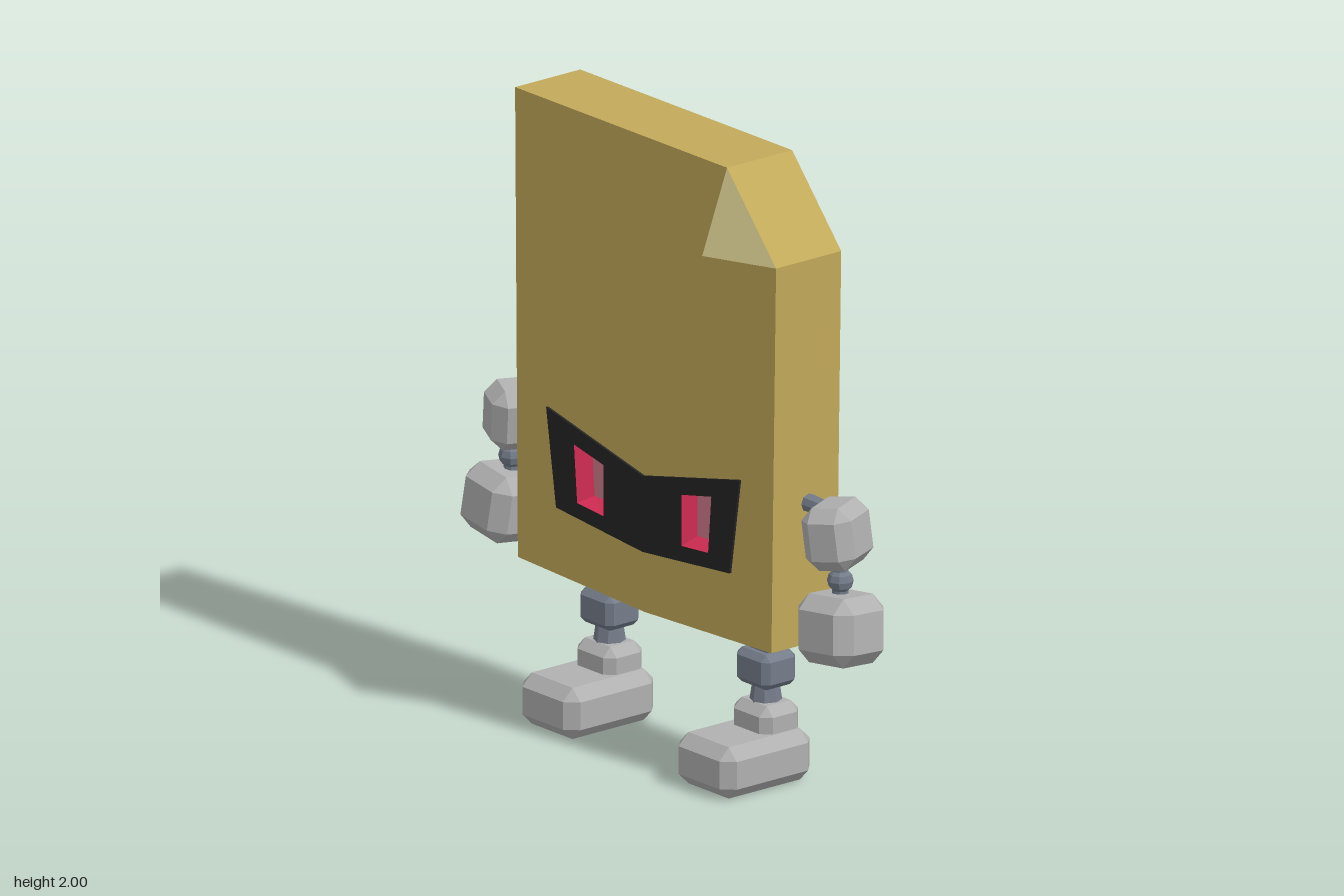
import * as THREE from 'three';
import { ConvexGeometry } from 'three/addons/geometries/ConvexGeometry.js';

const material = (name, color, extra = {}) => {
  const m = new THREE.MeshStandardMaterial({ color, flatShading: true, ...extra });
  m.name = name;
  return m;
};

function toShape(points) {
  return new THREE.Shape(points.map(([x, y]) => new THREE.Vector2(x, y)));
}

// Plate cut from an outline, running from z0 to z1, with optional holes
function plate(points, holes, z0, z1) {
  const shape = toShape(points);
  holes.forEach((h) => shape.holes.push(toShape(h)));
  const geo = new THREE.ExtrudeGeometry(shape, { depth: z1 - z0, bevelEnabled: false });
  return geo.translate(0, 0, z0);
}

// Box with every edge and corner cut off by c
function chamferBox(w, h, d, c) {
  const pts = [];
  for (const x of [-1, 1]) for (const y of [-1, 1]) for (const z of [-1, 1]) {
    const a = w / 2, b = h / 2, e = d / 2;
    pts.push(new THREE.Vector3(x * a, y * (b - c), z * (e - c)));
    pts.push(new THREE.Vector3(x * (a - c), y * b, z * (e - c)));
    pts.push(new THREE.Vector3(x * (a - c), y * (b - c), z * e));
  }
  return new ConvexGeometry(pts);
}

// Sloping walls joining two four-cornered loops, facing inwards
function socketWalls(outer, inner, zOuter, zInner) {
  const pos = [];
  for (let i = 0; i < 4; i++) {
    const j = (i + 1) % 4;
    const a = [...outer[i], zOuter], b = [...outer[j], zOuter];
    const c = [...inner[j], zInner], d = [...inner[i], zInner];
    pos.push(...a, ...b, ...c, ...a, ...c, ...d);
  }
  const geo = new THREE.BufferGeometry();
  geo.setAttribute('position', new THREE.Float32BufferAttribute(pos, 3));
  geo.computeVertexNormals();
  return geo;
}

export function createModel() {
  const paper = material('ochre paper', 0xc2aa5a);
  const foldPaper = material('pale fold', 0xcac088);
  const black = material('visor black', 0x242424);
  const red = material('eye red', 0xd02c52, { side: THREE.DoubleSide });
  const pink = material('eye pink', 0xd07c8c);
  const grey = material('light grey', 0xb0b0b0);
  const steel = material('joint steel', 0x747c8a);

  const model = new THREE.Group();
  model.name = 'pageRobot';
  const add = (parent, name, geo, mat, pos = [0, 0, 0], rot = [0, 0, 0]) => {
    const mesh = new THREE.Mesh(geo, mat);
    mesh.name = name;
    mesh.position.set(...pos);
    mesh.rotation.set(...rot);
    parent.add(mesh);
    return mesh;
  };
  const mirrorX = (pts) => pts.map(([x, y]) => [-x, y]);

  const front = 0.085, floor = 0.035, visorFront = 0.093;
  const eye = [[0.185, 0.73], [0.31, 0.74], [0.325, 0.925], [0.185, 0.895]];
  const eyeBack = [[0.198, 0.755], [0.29, 0.757], [0.302, 0.905], [0.198, 0.885]];
  const eyes = [eye, mirrorX(eye)];

  // Page-shaped body: solid back layer and a front layer with eye openings
  const page = [[-0.60, 0.49], [0, 0.468], [0.60, 0.49], [0.622, 1.735], [0.39, 2], [-0.613, 2]];
  add(model, 'bodyBack', plate(page, [], -0.175, floor), paper);
  add(model, 'bodyFront', plate(page, eyes, floor, front), paper);

  // Turned-down corner
  add(model, 'cornerFold', new ConvexGeometry([
    new THREE.Vector3(0.39, 2, front),
    new THREE.Vector3(0.622, 1.735, front),
    new THREE.Vector3(0.385, 1.735, front),
    new THREE.Vector3(0.385, 1.735, 0.18),
  ]), foldPaper);

  // Visor
  const visor = [[-0.41, 0.70], [0, 0.663], [0.41, 0.70], [0.457, 1.012], [0, 0.908], [-0.457, 1.012]];
  add(model, 'visor', plate(visor, eyes, front, visorFront), black);

  // Recessed eyes
  for (const side of [1, -1]) {
    const outer = side > 0 ? eye : mirrorX(eye);
    const inner = side > 0 ? eyeBack : mirrorX(eyeBack);
    const label = side > 0 ? 'left' : 'right';
    add(model, label + 'EyeSocket', socketWalls(outer, inner, visorFront, floor + 0.004), red);
    add(model, label + 'EyePane', plate(inner, [], floor, floor + 0.005), pink);
  }

  for (const side of [1, -1]) {
    const label = side > 0 ? 'left' : 'right';

    // Arm: rod, upper block, ball joint, fist
    const arm = new THREE.Group();
    arm.name = label + 'Arm';
    arm.scale.x = side;
    add(arm, 'shoulderRod', new THREE.CylinderGeometry(0.022, 0.032, 0.16, 8), steel,
      [0.655, 0.947, -0.057], [0, 0, -Math.PI / 2]);
    add(arm, 'upperArm', chamferBox(0.17, 0.2, 0.205, 0.04), grey,
      [0.752, 0.885, -0.05], [0, 0.42, 0.13]);
    add(arm, 'elbowBall', new THREE.SphereGeometry(0.041, 8, 6), steel, [0.778, 0.745, -0.04]);
    add(arm, 'elbowPin', new THREE.CylinderGeometry(0.025, 0.025, 0.12, 8), steel, [0.778, 0.745, -0.04]);
    add(arm, 'fist', chamferBox(0.235, 0.215, 0.22, 0.045), grey,
      [0.793, 0.597, -0.03], [-0.1, 0.1, 0.1]);
    model.add(arm);

    // Leg: hip, knee block, shin, ankle, foot
    const leg = new THREE.Group();
    leg.name = label + 'Leg';
    leg.position.set(side * 0.37, 0, -0.087);
    leg.scale.x = side;
    add(leg, 'hip', new THREE.CylinderGeometry(0.046, 0.03, 0.09, 8), steel, [0, 0.475, 0]);
    add(leg, 'hipCollar', chamferBox(0.1, 0.05, 0.065, 0.012), steel, [0, 0.425, 0]);
    add(leg, 'knee', chamferBox(0.155, 0.112, 0.135, 0.02), steel, [0, 0.355, 0]);
    add(leg, 'shin', new THREE.CylinderGeometry(0.04, 0.052, 0.08, 8), steel, [0, 0.275, 0]);
    add(leg, 'ankle', chamferBox(0.18, 0.13, 0.155, 0.03), grey, [0, 0.183, 0]);
    add(leg, 'foot', chamferBox(0.268, 0.165, 0.36, 0.038), grey, [0, 0.0825, 0.087]);
    model.add(leg);
  }

  return model;
}
